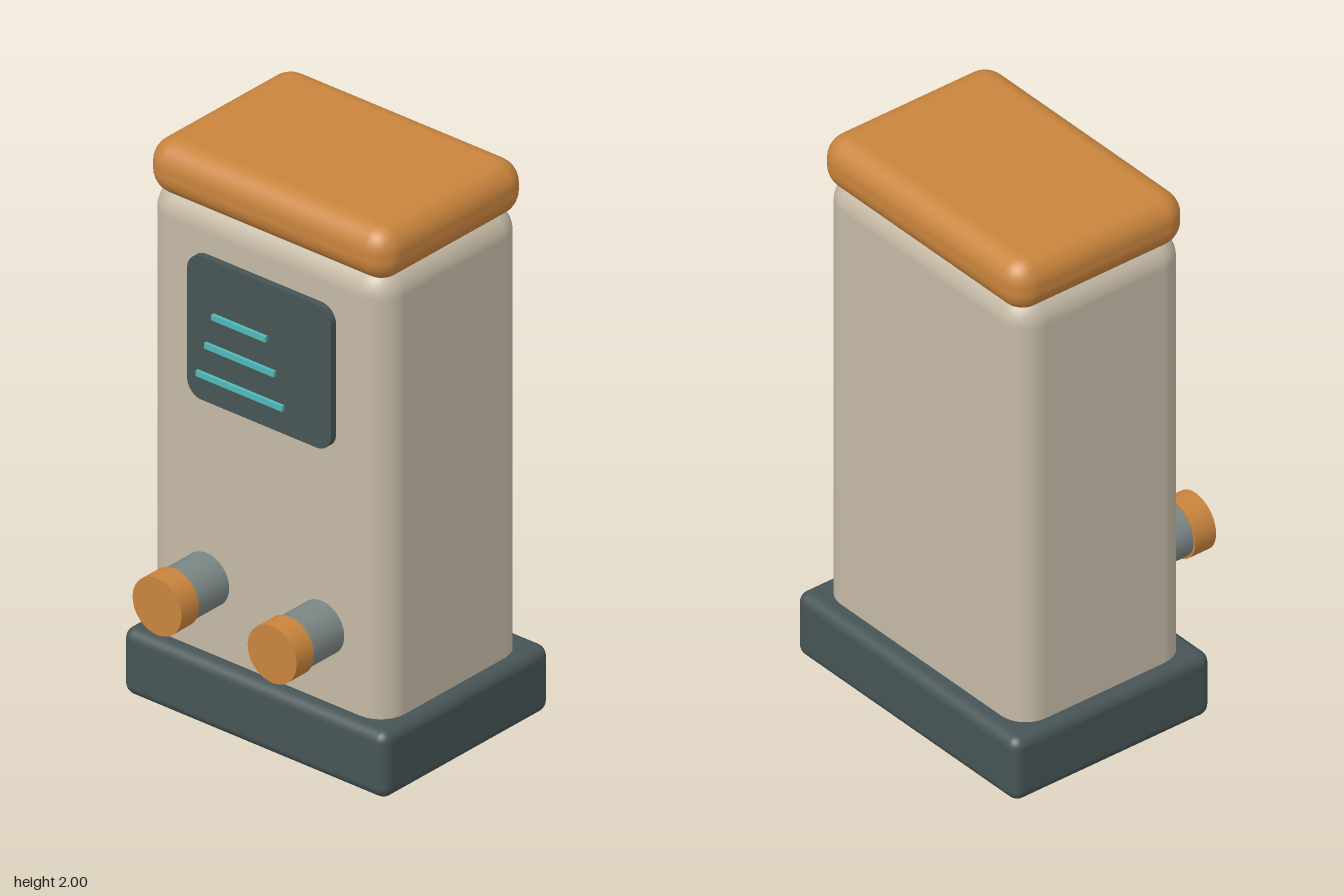
import * as THREE from 'three';
import { RoundedBoxGeometry } from 'three/addons/geometries/RoundedBoxGeometry.js';

const mat = (color) => new THREE.MeshStandardMaterial({ color });

export function createModel() {
  const model = new THREE.Group();
  const cream = mat(0xc4b9a5), orange = mat(0xc9843d), slate = mat(0x475455);
  const steel = mat(0x7b8685), cyan = mat(0x4fb9b9);

  const add = (name, geometry, material, x, y, z) => {
    const mesh = new THREE.Mesh(geometry, material);
    mesh.name = name;
    mesh.position.set(x, y, z);
    model.add(mesh);
    return mesh;
  };

  // Rounded box given by its extents in y and z, centred on x
  const block = (name, w, y0, y1, z0, z1, radius, material) =>
    add(name, new RoundedBoxGeometry(w, y1 - y0, z1 - z0, 4, radius), material,
      0, (y0 + y1) / 2, (z0 + z1) / 2);

  block('base', 1.1, 0, 0.24, -0.495, 0.31, 0.04, slate);
  block('body', 1, 0.12, 1.85, -0.43, 0.255, 0.1, cream);
  block('lid', 1.01, 1.805, 2, -0.445, 0.26, 0.085, orange);

  // Display panel with rounded corners
  const w = 0.3, h = 0.258, r = 0.06;
  const outline = new THREE.Shape();
  outline.absarc(w - r, h - r, r, 0, Math.PI / 2);
  outline.absarc(-w + r, h - r, r, Math.PI / 2, Math.PI);
  outline.absarc(-w + r, -h + r, r, Math.PI, Math.PI * 1.5);
  outline.absarc(w - r, -h + r, r, Math.PI * 1.5, Math.PI * 2);
  outline.closePath();
  add('displayPanel', new THREE.ExtrudeGeometry(outline, { depth: 0.04, bevelEnabled: false, curveSegments: 8 }),
    slate, 0, 1.418, 0.24);

  // Floating display lines: left end, right end, height
  for (const [x0, x1, y] of [[-0.16, 0.065, 1.505], [-0.19, 0.1, 1.392], [-0.225, 0.135, 1.28]]) {
    add('displayLine', new THREE.BoxGeometry(x1 - x0, 0.02, 0.012), cyan, (x0 + x1) / 2, y, 0.32);
  }

  // Pair of outlets: pipe and cap pointing forward
  const rod = (name, radius, x, z0, z1, material) => {
    const geometry = new THREE.CylinderGeometry(radius, radius, z1 - z0, 40).rotateX(Math.PI / 2);
    add(name, geometry, material, x, 0.503, (z0 + z1) / 2);
  };
  for (const x of [-0.24, 0.24]) {
    rod('outletPipe', 0.094, x, 0.2, 0.42, steel);
    rod('outletCap', 0.102, x, 0.41, 0.495, orange);
  }

  return model;
}
